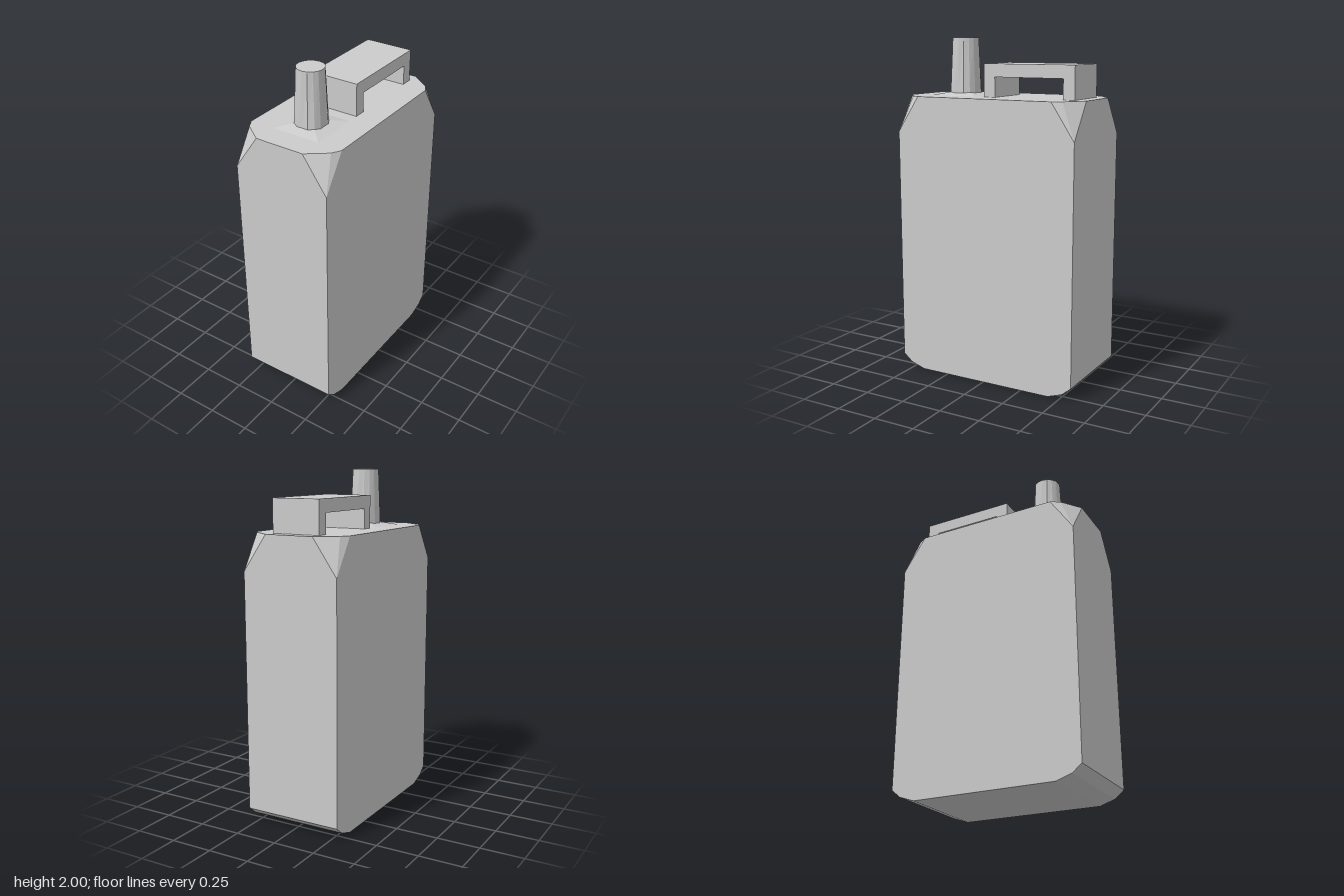
import * as THREE from 'three';
import { ConvexGeometry } from 'three/addons/geometries/ConvexGeometry.js';

const TOP = 1.665;
const SPOUT_Z = 0.283;

export function createModel() {
  const group = new THREE.Group();
  const material = new THREE.MeshStandardMaterial({ color: 0xcccccc, flatShading: true });
  const add = (name, geometry, x = 0, y = 0, z = 0) => {
    const mesh = new THREE.Mesh(geometry, material);
    mesh.name = name;
    mesh.position.set(x, y, z);
    group.add(mesh);
    return mesh;
  };

  // Can body: one quarter's corner points, mirrored to all four corners
  const quarter = [
    [0.293, 0, 0.425], [0.293, 0.03, 0.515], [0.293, 0.075, 0.57], // rounded bottom
    [0.293, 1.455, 0.57], // foot of the cut corner
    [0.147, TOP, 0.57], [0.263, TOP, 0.483], [0.293, TOP, 0.43], // top rim
  ];
  const points = [];
  for (const sx of [1, -1]) {
    for (const sz of [1, -1]) {
      for (const [x, y, z] of quarter) points.push(new THREE.Vector3(sx * x, y, sz * z));
    }
  }
  add('canBody', new ConvexGeometry(points));

  // Handle: side outline of a bridge, extruded across the width
  const outline = [
    [-0.07, 0], [-0.07, 0.19], [0.5, 0.19], [0.5, 0],
    [0.43, 0], [0.43, 0.115], [0, 0.115], [0, 0],
  ];
  const shape = new THREE.Shape(outline.map(([a, b]) => new THREE.Vector2(a, b)));
  const handle = new THREE.ExtrudeGeometry(shape, { depth: 0.292, bevelEnabled: false });
  handle.translate(0, 0, -0.146).rotateY(Math.PI / 2);
  add('handle', handle, 0, TOP, 0);

  // Low pyramid collar under the spout
  const collar = new THREE.ConeGeometry(0.146 * Math.SQRT2, 0.033, 4, 1, true);
  collar.rotateY(Math.PI / 4);
  add('spoutCollar', collar, 0, TOP + 0.0165, SPOUT_Z);

  // Spout: round at the top, its foot widened towards the diagonals
  const height = 2 - TOP;
  const spout = new THREE.CylinderGeometry(0.078, 0.084, height, 16);
  const pos = spout.attributes.position;
  for (let i = 0; i < pos.count; i++) {
    if (pos.getY(i) > 0) continue;
    const x = pos.getX(i), z = pos.getZ(i);
    const k = 1 + 0.13 * Math.abs(Math.sin(2 * Math.atan2(z, x)));
    pos.setX(i, x * k);
    pos.setZ(i, z * k);
  }
  add('spout', spout, 0, TOP + height / 2, SPOUT_Z);

  return group;
}
